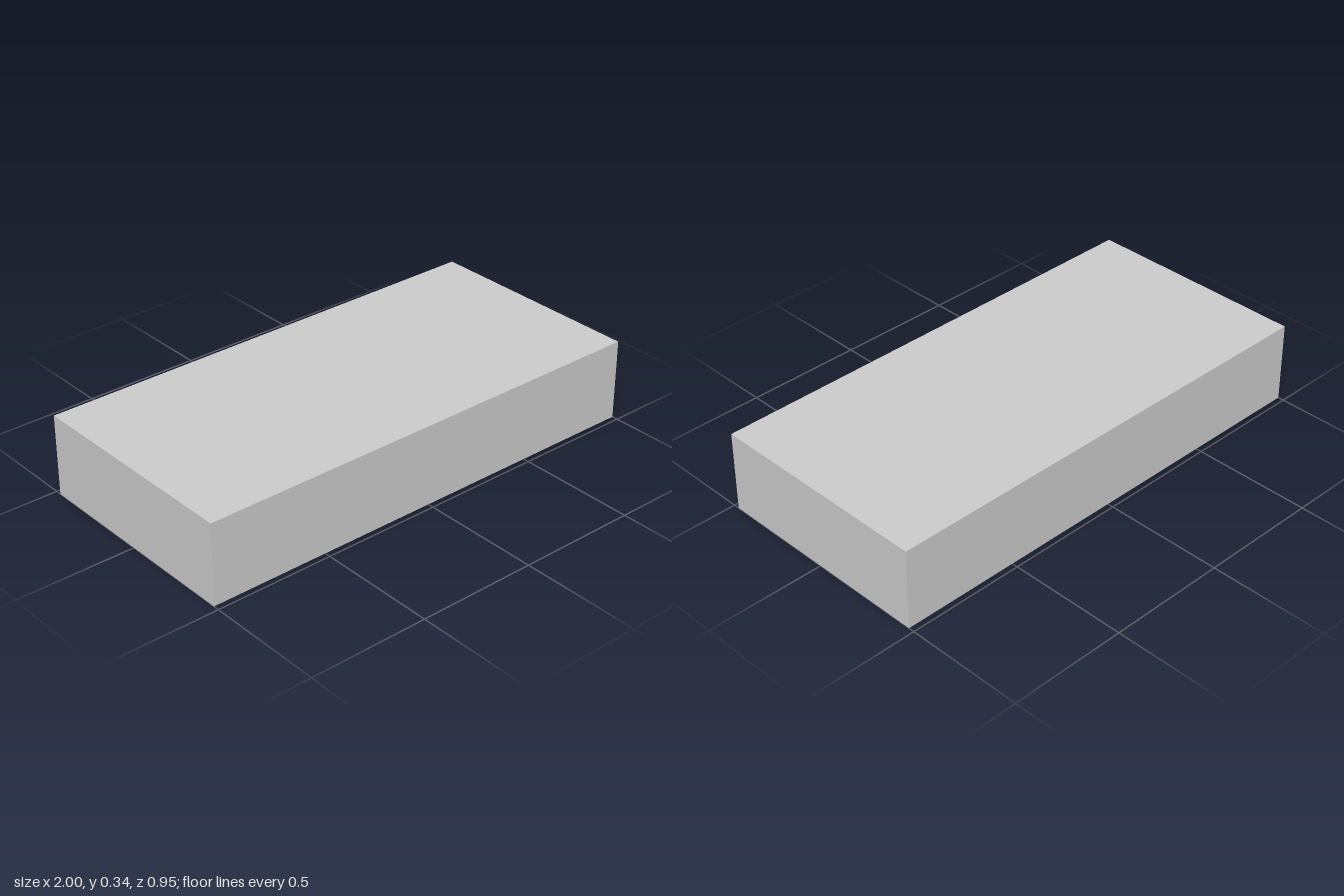
import * as THREE from 'three';

const W = 2, H = 0.34, D = 0.95, T = 0.012; // outer size and wall thickness
const SEAM = -0.593, PART = -0.62;          // joint between main case and end cap

export function createModel() {
  const group = new THREE.Group();
  const material = new THREE.MeshStandardMaterial({ color: 0xcccccc, flatShading: true });

  const add = (name, geometry) => {
    const mesh = new THREE.Mesh(geometry, material);
    mesh.name = name;
    group.add(mesh);
  };
  // Box given by its lower and upper limits on each axis
  const block = (name, x0, x1, y0, y1, z0, z1) =>
    add(name, new THREE.BoxGeometry(x1 - x0, y1 - y0, z1 - z0)
      .translate((x0 + x1) / 2, (y0 + y1) / 2, (z0 + z1) / 2));

  const x = W / 2, z = D / 2;

  // Top panels of the hollow case and the end cap, with the partition flush between them
  block('mainTopPanel', SEAM, x, H - T, H, -z, z);
  block('capTopPanel', -x, PART, H - T, H, -z, z);
  block('partition', PART, SEAM, T, H, -z + T, z - T);

  // Long walls, split at the seam
  for (const [side, s] of [['front', 1], ['back', -1]]) {
    const z0 = s > 0 ? z - T : -z, z1 = z0 + T;
    block(side + 'MainWall', SEAM, x, T, H - T, z0, z1);
    block(side + 'CapWall', -x, PART, T, H - T, z0, z1);
    block(side + 'CapLip', PART, SEAM, T, H, z0, z1);
  }

  // End walls
  block('rightEndWall', x - T, x, T, H - T, -z + T, z - T);
  block('leftEndWall', -x, -x + T, T, H - T, -z + T, z - T);

  // Bottom panel with a rectangular opening beside the right end wall
  const outline = (x0, x1, z0, z1) => [[x0, z0], [x1, z0], [x1, z1], [x0, z1]]
    .map(([a, b]) => new THREE.Vector2(a, -b));
  const panel = new THREE.Shape(outline(-x, x, -z, z));
  panel.holes.push(new THREE.Path(outline(0.815, x - T, -0.25, 0.16)));
  add('bottomPanel', new THREE.ExtrudeGeometry(panel, { depth: T, bevelEnabled: false })
    .rotateX(-Math.PI / 2));

  return group;
}
